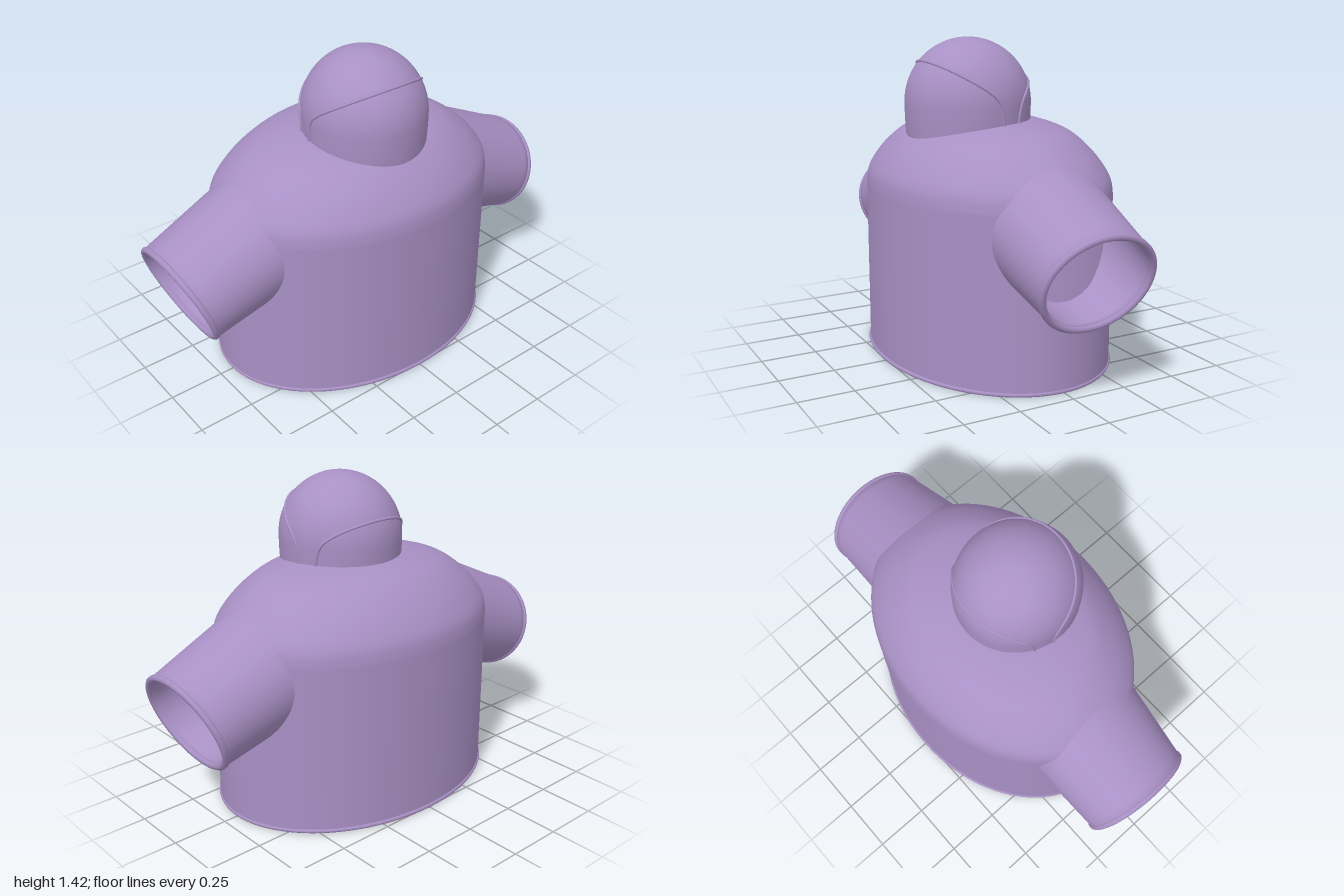
import * as THREE from 'three';

const material = new THREE.MeshStandardMaterial({ color: 0xa890c4, side: THREE.DoubleSide });
const V = (x, y, z) => new THREE.Vector3(x, y, z);
const TAU = Math.PI * 2;

// Torso: an ellipse scaled by a profile of (scale, height)
const TX = 0.685, TZ = 0.508;
const dome = new THREE.SplineCurve([
  [1, 0.76], [0.985, 0.815], [0.94, 0.865], [0.85, 0.93], [0.72, 0.995],
  [0.6, 1.03], [0.4, 1.06], [0.2, 1.07], [0, 1.072],
].map(([s, y]) => new THREE.Vector2(s, y))).getPoints(48);
const profile = [];
for (let i = 0; i < 50; i++) profile.push(new THREE.Vector2(1, 0.005 + i * 0.0151));
profile.push(...dome);

// Linear look-up along the dome: from one coordinate to the other
function lookUp(value, from, to) {
  for (let i = 1; i < dome.length; i++) {
    const a = dome[i - 1], b = dome[i];
    const f = (value - a[from]) / (b[from] - a[from]);
    if (f >= 0 && f <= 1) return a[to] + f * (b[to] - a[to]);
  }
  return 0;
}
const scaleAt = (y) => (y <= 0.76 ? 1 : lookUp(y, 'y', 'x'));
const heightAt = (x, z) => lookUp(Math.hypot(x / TX, z / TZ), 'x', 'y');
const insideTorso = (p) => Math.hypot(p.x / TX, p.z / TZ) < scaleAt(p.y);

// Sleeve frame: t runs outward along the axis, u is the tilted upward direction
const END = V(0.908, 0.53, 0), AXIS = V(0.94, -0.342, 0), UP = V(0.342, 0.94, 0);
const WALL = 0.024;
const radiusU = (t) => 0.222 - 0.09 * t;
const radiusZ = (t) => 0.257 - 0.07 * t;
const sleevePoint = (t, a, inset) => END.clone()
  .addScaledVector(AXIS, t)
  .addScaledVector(UP, (radiusU(t) - inset) * Math.cos(a))
  .add(V(0, 0, (radiusZ(t) - inset) * Math.sin(a)));

// Closed rings of points joined into a smooth surface; keep() can leave cells out
function ringSurface(rows, segs, point, keep = () => true) {
  const pos = [], index = [], pts = [];
  for (let i = 0; i <= rows; i++) {
    for (let j = 0; j < segs; j++) {
      const p = point(i, (j / segs) * TAU);
      pts.push(p);
      pos.push(p.x, p.y, p.z);
    }
  }
  for (let i = 0; i < rows; i++) {
    for (let j = 0; j < segs; j++) {
      const k = (j + 1) % segs;
      const a = i * segs + j, b = a + segs, c = i * segs + k, d = c + segs;
      if (!keep(pts[a].clone().add(pts[d]).multiplyScalar(0.5))) continue;
      index.push(a, b, c, b, d, c);
    }
  }
  const geo = new THREE.BufferGeometry();
  geo.setAttribute('position', new THREE.Float32BufferAttribute(pos, 3));
  geo.setIndex(index);
  geo.computeVertexNormals();
  return geo;
}

function addMesh(parent, name, geometry) {
  const mesh = new THREE.Mesh(geometry, material);
  mesh.name = name;
  parent.add(mesh);
}

// Round bead along a list of points
const bead = (points, radius, closed) => new THREE.TubeGeometry(
  new THREE.CatmullRomCurve3(points, closed), points.length * 2, radius, 8, closed);
const loop = (n, fn) => Array.from({ length: n }, (_, i) => fn((i / n) * TAU));

// Torso shell with openings inside the sleeves
function torsoGeometry() {
  const keep = (p) => {
    const d = V(Math.abs(p.x), p.y, p.z).sub(END);
    const t = d.dot(AXIS);
    if (t < -0.6) return true;
    const inset = WALL * 0.5;
    return Math.hypot(d.dot(UP) / (radiusU(t) - inset), d.z / (radiusZ(t) - inset)) > 1;
  };
  return ringSurface(profile.length - 1, 224, (i, a) => {
    const { x: s, y } = profile[i];
    return V(TX * s * Math.cos(a), y, TZ * s * Math.sin(a));
  }, keep);
}

// Sleeve: inner and outer wall, trimmed to the torso surface
function sleeveGeometry() {
  const N = 10;
  const start = (a, inset) => {
    let t = 0;
    while (t > -0.7 && !insideTorso(sleevePoint(t, a, inset))) t -= 0.004;
    return t - 0.015;
  };
  return ringSurface(2 * N + 1, 96, (i, a) => {
    const inner = i <= N;
    const inset = inner ? WALL : 0;
    const f = inner ? 1 - i / N : (i - N - 1) / N;
    return sleevePoint(start(a, inset) * f, a, inset);
  });
}

// Hood: a ball with nearly straight sides, trimmed to the torso top
const HR = 0.281, HY = 1.14, HZ = 0.09, HW = 0.965;
const hoodDrop = (y) => (y < HY ? (y - HY) * 0.4 : y - HY);
function hoodGeometry() {
  const LOW = 10, HIGH = 28;
  const at = (y, a) => {
    const r = Math.sqrt(Math.max(0, HR * HR - hoodDrop(y) ** 2));
    return V(r * HW * Math.cos(a), y, HZ + r * Math.sin(a));
  };
  return ringSurface(LOW + HIGH, 96, (i, a) => {
    if (i >= LOW) return at(HY + HR * Math.sin(((i - LOW) / HIGH) * Math.PI / 2), a);
    const foot = at(1.03, a);
    const base = heightAt(foot.x, foot.z) - 0.012;
    return at(base + (HY - base) * (i / LOW), a);
  });
}

// Seam over the hood, given as (z, y) from the crown down to one side
function seamGeometry(path) {
  const side = new THREE.SplineCurve(path.map(([z, y]) => new THREE.Vector2(z, y)));
  const points = [];
  for (let i = -24; i <= 24; i++) {
    const t = i / 24, p = side.getPoint(t * t);
    const x = Math.sqrt(Math.max(0, HR * HR - (p.x - HZ) ** 2 - hoodDrop(p.y) ** 2));
    points.push(V(Math.sign(t) * x * HW, p.y, p.x));
  }
  return bead(points, 0.007, false);
}

export function createModel() {
  const model = new THREE.Group();
  model.name = 'hoodedTop';

  addMesh(model, 'torso', torsoGeometry());
  addMesh(model, 'bottomHem', bead(
    loop(64, (a) => V(0.68 * Math.cos(a), 0.01, 0.506 * Math.sin(a))), 0.01, true));

  const sleeve = sleeveGeometry();
  const cuff = bead(loop(48, (a) => sleevePoint(0, a, 0.008)), 0.015, true);
  for (const [name, turn] of [['leftSleeve', 0], ['rightSleeve', Math.PI]]) {
    const arm = new THREE.Group();
    arm.name = name;
    arm.rotation.y = turn;
    addMesh(arm, 'sleeveWall', sleeve);
    addMesh(arm, 'cuff', cuff);
    model.add(arm);
  }

  addMesh(model, 'hood', hoodGeometry());
  addMesh(model, 'frontSeam', seamGeometry(
    [[0.303, 1.323], [0.2, 1.257], [0.11, 1.195], [0.07, 1.145], [0.055, 1.055]]));
  addMesh(model, 'backSeam', seamGeometry(
    [[-0.168, 1.248], [-0.1, 1.2], [-0.055, 1.155], [-0.035, 1.1], [-0.03, 1.055]]));
  return model;
}
